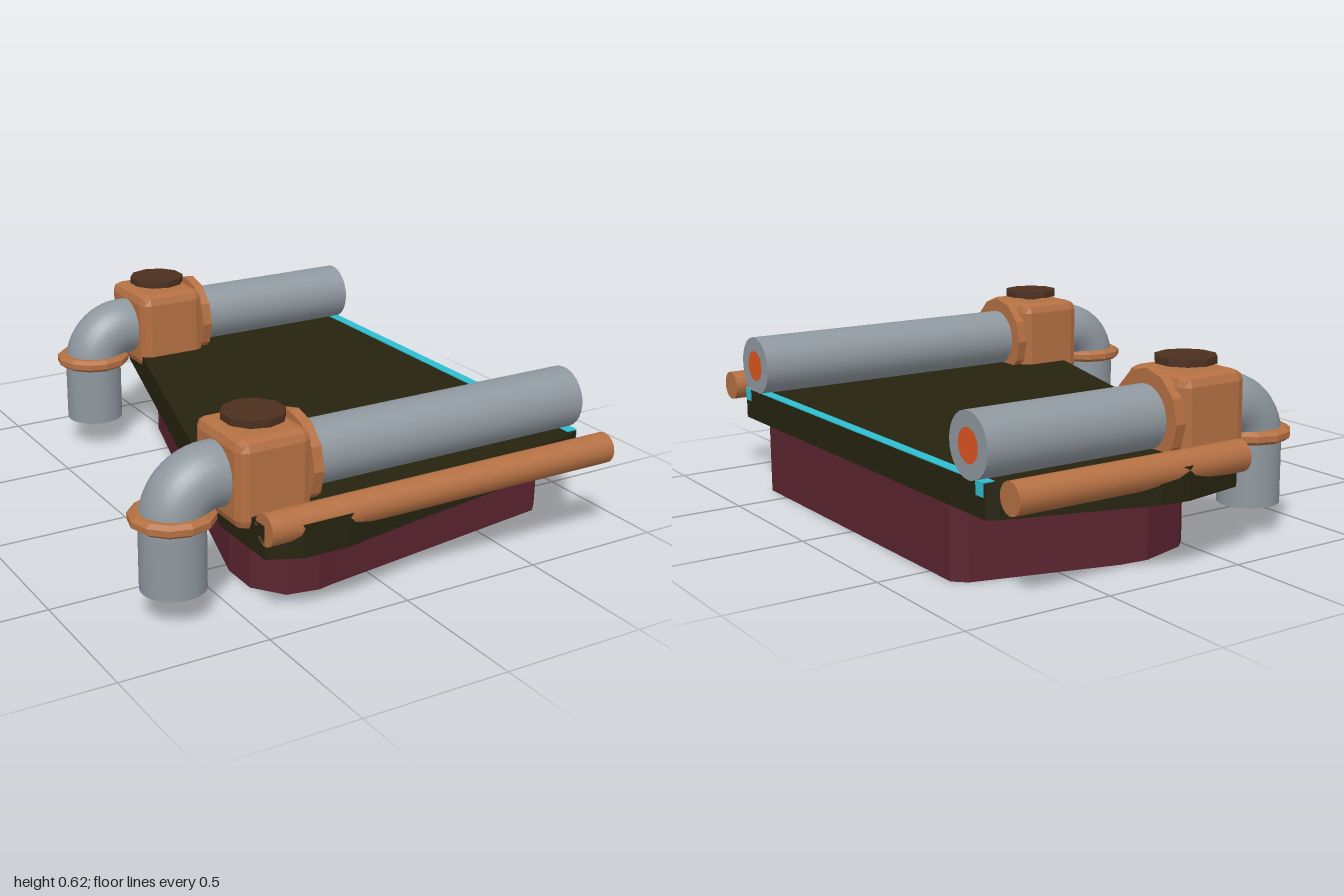
import * as THREE from 'three';
import { RoundedBoxGeometry } from 'three/addons/geometries/RoundedBoxGeometry.js';

function material(name, color) {
  const m = new THREE.MeshStandardMaterial({ color });
  m.name = name;
  return m;
}

export function createModel() {
  const model = new THREE.Group();
  model.name = 'pipedPlatform';
  const copper = material('copper', 0xb57043);
  const steel = material('steel grey', 0x8f989f);
  const olive = material('dark olive', 0x26230f);
  const maroon = material('maroon', 0x5b2430);
  const brown = material('dark brown', 0x4c301f);
  const cyan = material('cyan', 0x2fbfd2);
  const orange = material('orange', 0xdd5522);

  const END = 0.815;   // x of the cut right end
  const PIPE_Y = 0.445, PIPE_R = 0.105, BEND = 0.125;

  function add(parent, name, geometry, mat, x = 0, y = 0, z = 0) {
    const mesh = new THREE.Mesh(geometry, mat);
    mesh.name = name;
    mesh.position.set(x, y, z);
    parent.add(mesh);
    return mesh;
  }

  // Faceted version of a geometry
  function flat(geometry) {
    const g = geometry.index ? geometry.toNonIndexed() : geometry;
    g.computeVertexNormals();
    return g;
  }

  // Cylinder lying along x
  function rod(radius, length, sides) {
    return new THREE.CylinderGeometry(radius, radius, length, sides).rotateZ(-Math.PI / 2);
  }

  // Slab from an (x, z) outline
  function slab(outline, height) {
    const shape = new THREE.Shape(outline.map(([x, z]) => new THREE.Vector2(x, -z)));
    return new THREE.ExtrudeGeometry(shape, { depth: height, bevelEnabled: false }).rotateX(-Math.PI / 2);
  }

  // Deck and the smaller base beneath it
  add(model, 'base', slab([
    [END, 0.62], [0.775, 0.66], [-0.15, 0.79], [-0.2, 0.8], [-0.31, 0.78], [-0.385, 0.68], [-0.385, 0.54],
    [-0.02, -0.7], [0.03, -0.75], [0.2, -0.8], [0.3, -0.79], [0.775, -0.66], [END, -0.62],
  ], 0.24), maroon);
  add(model, 'deck', slab([
    [END, 0.81], [0.78, 0.83], [0.41, 0.89], [-0.04, 0.965], [-0.22, 1], [-0.38, 1], [-0.49, 0.95], [-0.49, 0.68],
    [-0.045, -0.9], [-0.02, -0.96], [0.2, -1], [0.3, -0.99], [0.55, -0.91], [0.78, -0.84], [END, -0.82],
  ], 0.108), olive, 0, 0.24);

  // Light strip along the cut end, with a block at each end
  add(model, 'lightStrip', new THREE.BoxGeometry(0.037, 0.005, 1.6), cyan, 0.796, 0.349);
  for (const side of [1, -1]) {
    add(model, 'lightBlock', new THREE.BoxGeometry(0.04, 0.045, 0.04), cyan, 0.797, 0.329, side * 0.79);
  }

  // Side rails
  for (const [x, z] of [[-0.49, 0.948], [-0.045, -0.948]]) {
    add(model, 'rail', rod(0.052, END - x, 16), copper, (x + END) / 2, 0.335, z);
  }

  // Collar profile, bevelled on the outside
  const collarProfile = [[0.09, -0.022], [0.12, -0.022], [0.137, -0.01], [0.137, 0.01], [0.12, 0.022], [0.09, 0.022]]
    .map(([r, y]) => new THREE.Vector2(r, y));

  // Pipe run with valve, elbow and drop leg
  function pipeRun(name, valveX, z) {
    const run = new THREE.Group();
    run.name = name;
    run.position.z = z;
    model.add(run);

    const legX = valveX - 0.28, start = legX + BEND, bendY = PIPE_Y - BEND;
    add(run, 'pipe', rod(PIPE_R, END - start, 28), steel, (start + END) / 2, PIPE_Y);
    add(run, 'elbow', new THREE.TorusGeometry(BEND, PIPE_R, 28, 12, Math.PI / 2).rotateZ(Math.PI / 2),
      steel, start, bendY);
    add(run, 'dropLeg', new THREE.CylinderGeometry(PIPE_R, PIPE_R, bendY - 0.1, 28), steel, legX, (bendY + 0.1) / 2);
    add(run, 'collar', flat(new THREE.LatheGeometry(collarProfile, 12)), copper, legX, 0.338);

    // Glowing cores at the open ends
    add(run, 'pipeCore', new THREE.CircleGeometry(0.055, 20).rotateY(Math.PI / 2), orange, END + 0.001, PIPE_Y);
    add(run, 'legCore', new THREE.CircleGeometry(0.055, 20).rotateX(Math.PI / 2), orange, legX, 0.099);

    // Valve housing, flange and hand cap
    add(run, 'valveHousing', flat(new RoundedBoxGeometry(0.26, 0.29, 0.295, 1, 0.035)), copper, valveX, 0.442);
    add(run, 'valveFlange', flat(rod(0.155, 0.036, 12)), copper, valveX + 0.143, PIPE_Y);
    add(run, 'valveStem', new THREE.CylinderGeometry(0.03, 0.03, 0.03, 10), brown, valveX, 0.595);
    add(run, 'valveCap', flat(new THREE.CylinderGeometry(0.102, 0.102, 0.024, 10)), brown, valveX, 0.613);
  }
  pipeRun('frontPipe', -0.4, 0.725);
  pipeRun('backPipe', 0, -0.73);

  return model;
}
